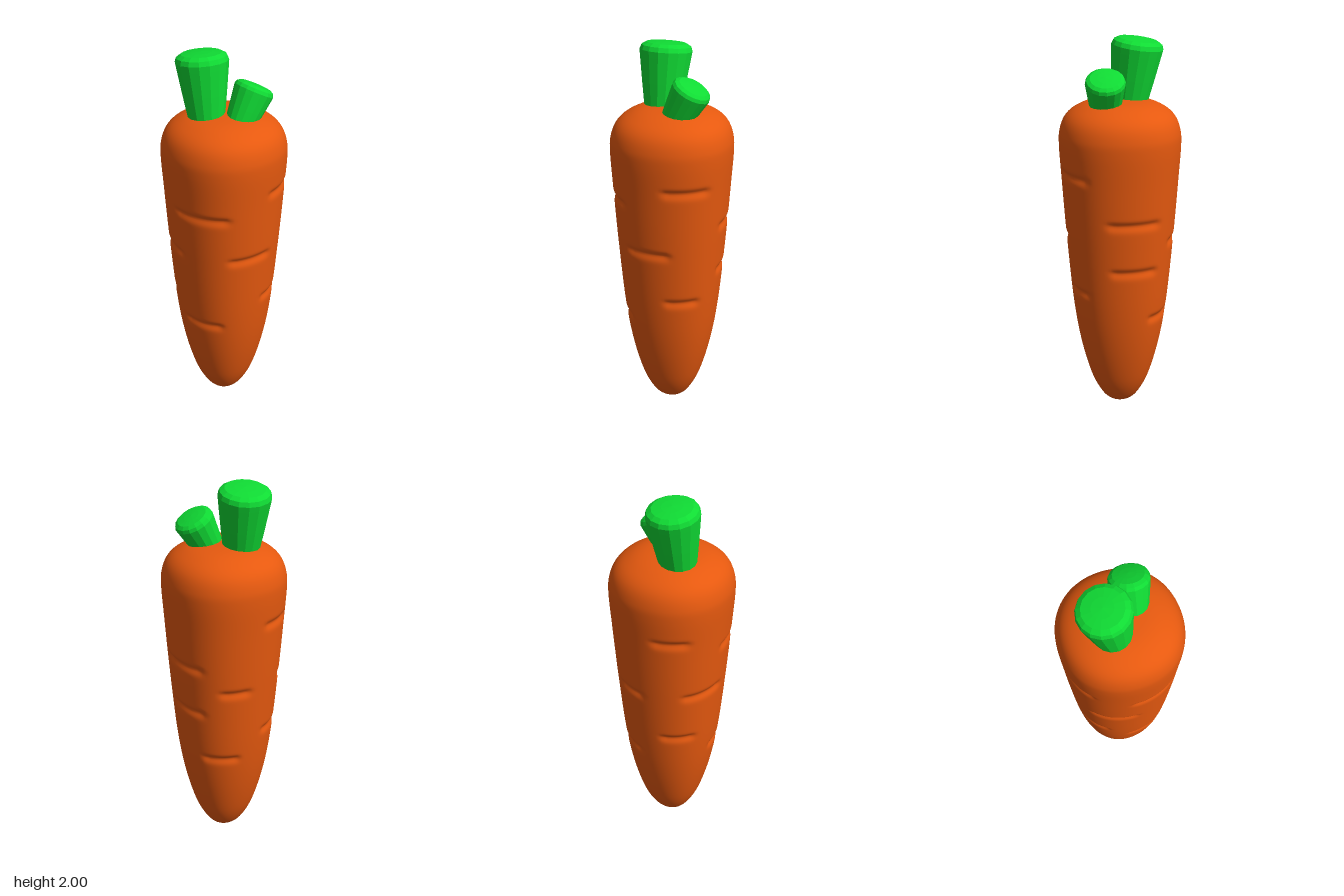
import * as THREE from 'three';
import { mergeVertices } from 'three/addons/utils/BufferGeometryUtils.js';

const orange = new THREE.MeshStandardMaterial({ color: 0xe6590f });
orange.name = 'carrotOrange';
const green = new THREE.MeshStandardMaterial({ color: 0x10dc34, flatShading: true });
green.name = 'leafGreen';

// Root outline as [radius, height], bottom to top
const PROFILE = [
  [0, 0], [0.055, 0.015], [0.105, 0.065], [0.16, 0.18], [0.213, 0.38], [0.25, 0.62],
  [0.282, 0.98], [0.303, 1.28], [0.314, 1.46], [0.308, 1.54], [0.28, 1.605],
  [0.225, 1.65], [0.14, 1.68], [0, 1.692],
];

// Creases as [height, start angle, end angle]; 0 is the front, 90 is +x
const CREASES = [
  [1.33, -80, -41], [1.33, 96, 145], [1.23, -6, 57], [1.1, 161, 219],
  [0.98, -50, 4], [0.98, 53, 106], [0.97, 233, 270], [0.84, 164, 219],
  [0.7, -74, -30], [0.7, 97, 140], [0.56, -7, 50], [0.56, 211, 260],
];

function creaseDepth(angle, y) {
  let depth = 0;
  for (const [h, a0, a1] of CREASES) {
    const mid = (a0 + a1) / 2;
    const off = Math.abs(((angle - mid + 540) % 360 + 360) % 360 - 180);
    const fade = THREE.MathUtils.smoothstep((a1 - a0) / 2 + 2 - off, 0, 9);
    const d = y - h;
    const width = d > 0 ? 0.016 : 0.024;
    depth += 0.013 * fade * Math.exp(-((d / width) ** 2));
  }
  return depth;
}

function createRoot() {
  const curve = new THREE.SplineCurve(PROFILE.map(([r, y]) => new THREE.Vector2(r, y)));
  const points = curve.getSpacedPoints(230);
  points.forEach((p) => { p.x = Math.max(p.x, 0); p.y = Math.max(p.y, 0); });
  let geo = new THREE.LatheGeometry(points, 96);
  // Slightly squared cross-section with short creases pressed in
  const pos = geo.attributes.position;
  for (let i = 0; i < pos.count; i++) {
    const x = pos.getX(i), y = pos.getY(i), z = pos.getZ(i);
    const r = Math.hypot(x, z);
    if (r < 1e-4) continue;
    const a = Math.atan2(x, z);
    const square = 1 + 0.011 * (1 - Math.cos(4 * a));
    const k = square - creaseDepth(THREE.MathUtils.radToDeg(a), y) / r;
    pos.setXYZ(i, x * k, y, z * k);
  }
  geo.deleteAttribute('uv');
  geo.deleteAttribute('normal');
  geo = mergeVertices(geo, 1e-5);
  geo.computeVertexNormals();
  const mesh = new THREE.Mesh(geo, orange);
  mesh.name = 'root';
  return mesh;
}

// Flaring faceted stalk with a rounded end, from base to tip
function createStalk(name, base, tip, r0, r1) {
  const from = new THREE.Vector3(...base);
  const axis = new THREE.Vector3(...tip).sub(from);
  const L = axis.length();
  const points = [
    [0, 0], [r0, 0], [(r0 + r1) / 2, L * 0.42], [r1 * 0.97, L - r1 * 0.55],
    [r1, L - r1 * 0.32], [r1 * 0.94, L - r1 * 0.15], [r1 * 0.76, L - r1 * 0.04],
    [r1 * 0.4, L], [0, L + r1 * 0.02],
  ].map(([r, y]) => new THREE.Vector2(r, y));
  const mesh = new THREE.Mesh(new THREE.LatheGeometry(points, 16), green);
  mesh.name = name;
  mesh.position.copy(from);
  mesh.quaternion.setFromUnitVectors(new THREE.Vector3(0, 1, 0), axis.normalize());
  return mesh;
}

export function createModel() {
  const model = new THREE.Group();
  model.name = 'carrot';
  model.add(
    createRoot(),
    createStalk('largeStalk', [-0.052, 1.64, 0.068], [-0.1, 1.988, 0.06], 0.09, 0.134),
    createStalk('smallStalk', [0.076, 1.62, -0.03], [0.084, 1.825, -0.138], 0.074, 0.102),
  );
  return model;
}
